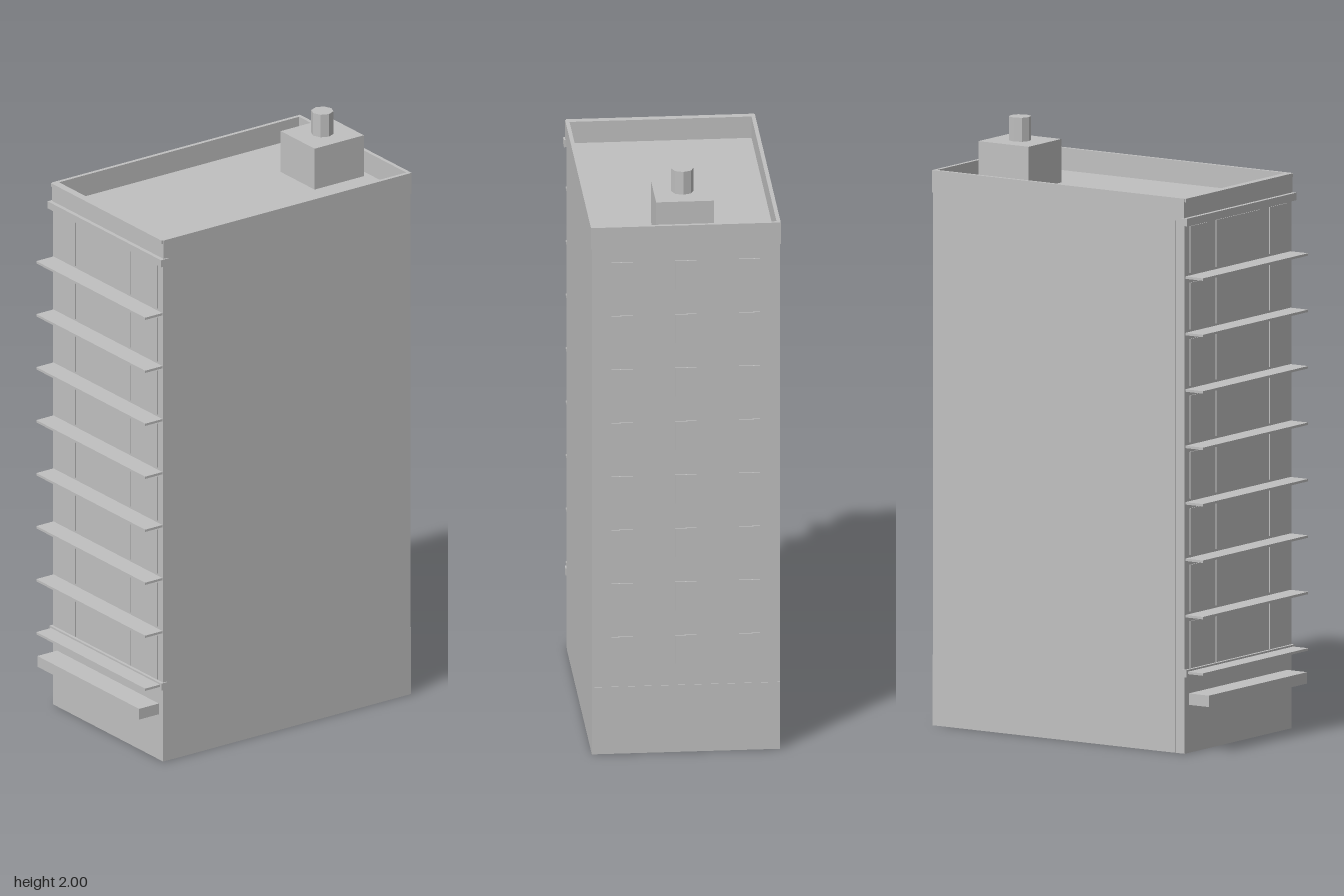
import * as THREE from 'three';

export function createModel() {
  const group = new THREE.Group();
  const concrete = new THREE.MeshStandardMaterial({ color: 0xc0c0c0 });
  concrete.name = 'concreteGrey';

  const add = (name, geometry, x, y, z) => {
    const mesh = new THREE.Mesh(geometry, concrete);
    mesh.name = name;
    mesh.position.set(x, y, z);
    group.add(mesh);
    return mesh;
  };
  // Box given by its two extremes on each axis
  const box = (name, x0, x1, y0, y1, z0, z1) =>
    add(name, new THREE.BoxGeometry(x1 - x0, y1 - y0, z1 - z0),
      (x0 + x1) / 2, (y0 + y1) / 2, (z0 + z1) / 2);

  // Main volumes
  const roofY = 1.775;
  box('groundFloor', -0.31, 0.31, 0, 0.235, -0.54, 0.43);
  box('tower', -0.31, 0.31, 0.235, roofY, -0.538, 0.43);
  box('frontFacade', -0.309, 0.309, 0, roofY, 0.43, 0.465);

  // Parapet ring around the sunken roof
  const ring = new THREE.Shape([[-0.313, -0.466], [0.313, -0.466], [0.313, 0.541], [-0.313, 0.541]]
    .map(([x, y]) => new THREE.Vector2(x, y)));
  ring.holes.push(new THREE.Path([[-0.3, -0.446], [-0.3, 0.528], [0.3, 0.528], [0.3, -0.446]]
    .map(([x, y]) => new THREE.Vector2(x, y))));
  const parapet = new THREE.ExtrudeGeometry(ring, { depth: 1.85 - roofY, bevelEnabled: false });
  parapet.rotateX(-Math.PI / 2);
  add('parapet', parapet, 0, roofY, 0);

  // Roof house and chimney
  box('roofHouse', -0.095, 0.095, roofY, 1.92, -0.505, -0.305);
  const chimney = new THREE.CylinderGeometry(0.037, 0.037, 0.08, 8).toNonIndexed();
  chimney.computeVertexNormals();
  add('chimney', chimney, 0, 1.96, -0.405);

  // Front mouldings and entrance canopy
  box('parapetCap', -0.31, 0.31, 1.838, 1.85, 0.466, 0.472);
  box('cornice', -0.318, 0.318, 1.76, 1.785, 0.45, 0.48);
  box('lowerBand', -0.313, 0.313, 0.255, 0.28, 0.45, 0.475);
  box('canopy', -0.285, 0.285, 0.16, 0.198, 0.465, 0.545);

  // Eight storeys: balcony slab, front panels and rear windows
  for (let floor = 0; floor < 8; floor++) {
    const y = 0.27 + floor * 0.188;
    box('balconySlab', -0.305, 0.305, y - 0.004, y + 0.004, 0.465, 0.535);
    for (const [x, w] of [[-0.23, 0.1], [0, 0.26], [0.23, 0.1]]) {
      box('frontPanel', x - w / 2, x + w / 2, y + 0.012, y + 0.168, 0.464, 0.468);
    }
    for (const x of [-0.21, 0, 0.21]) {
      box('rearWindow', x - 0.035, x + 0.035, y + 0.04, y + 0.14, -0.543, -0.537);
    }
  }
  return group;
}
